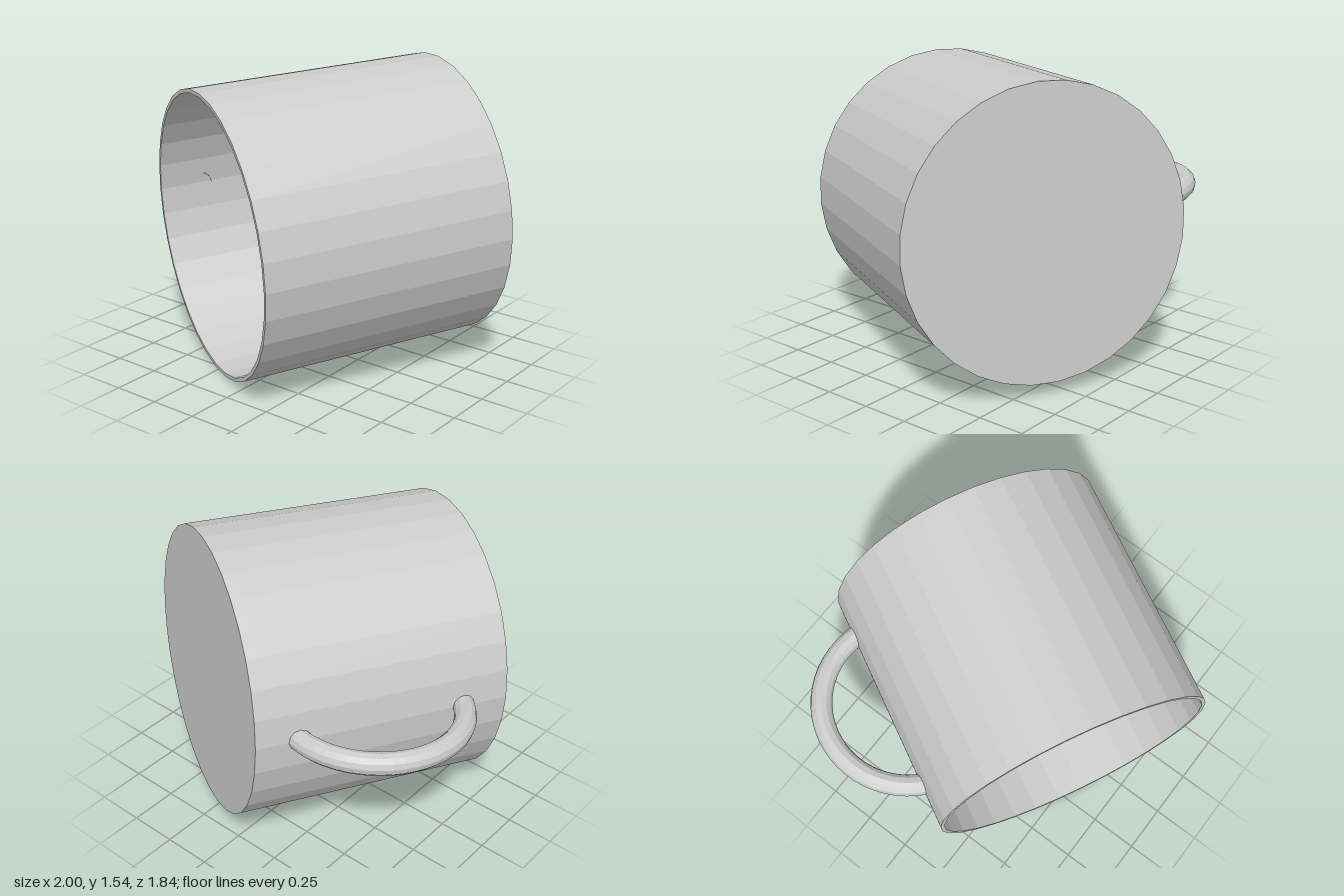
import * as THREE from 'three';

const RADIUS = 0.738, INNER = 0.718, HEIGHT = 1.303, FLOOR = 0.057, SIDES = 32;

// Split the faces so that every facet is shaded flat
function faceted(geometry) {
  const g = geometry.toNonIndexed();
  g.computeVertexNormals();
  return g;
}

export function createModel() {
  const model = new THREE.Group();
  model.name = 'mug';
  const grey = new THREE.MeshStandardMaterial({ color: 0xcccccc });
  grey.name = 'light grey';

  const mug = new THREE.Group();
  mug.name = 'lyingMug';
  const add = (name, geometry) => {
    const mesh = new THREE.Mesh(faceted(geometry), grey);
    mesh.name = name;
    mug.add(mesh);
    return mesh;
  };

  // Thin wall: up the outside, over the rim, down the inside
  const profile = [[RADIUS, FLOOR], [RADIUS, HEIGHT], [INNER, HEIGHT], [INNER, FLOOR]]
    .map(([r, y]) => new THREE.Vector2(r, y));
  add('wall', new THREE.LatheGeometry(profile, SIDES));

  // Base disc closing the cup
  add('base', new THREE.CylinderGeometry(RADIUS, RADIUS, FLOOR, SIDES))
    .position.y = FLOOR / 2;

  // Round handle whose ends just pass through the wall
  const arc = THREE.MathUtils.degToRad(156);
  const handle = add('handle', new THREE.TorusGeometry(0.44, 0.055, 12, 24, arc));
  handle.rotation.z = -arc / 2;
  handle.position.set(0.62, 0.645, 0);

  // Lay the mug on its side: local y points to the open end, local x to the handle
  const closedEnd = new THREE.Vector3(0.34, 0.81, -0.58);
  const axis = new THREE.Vector3(-0.26, 0.74, 0.575).sub(closedEnd).normalize();
  const out = new THREE.Vector3(-0.89, 0.06, -0.46);
  out.addScaledVector(axis, -out.dot(axis)).normalize();
  const side = new THREE.Vector3().crossVectors(out, axis);
  mug.quaternion.setFromRotationMatrix(new THREE.Matrix4().makeBasis(out, axis, side));
  mug.position.copy(closedEnd);

  model.add(mug);
  return model;
}
